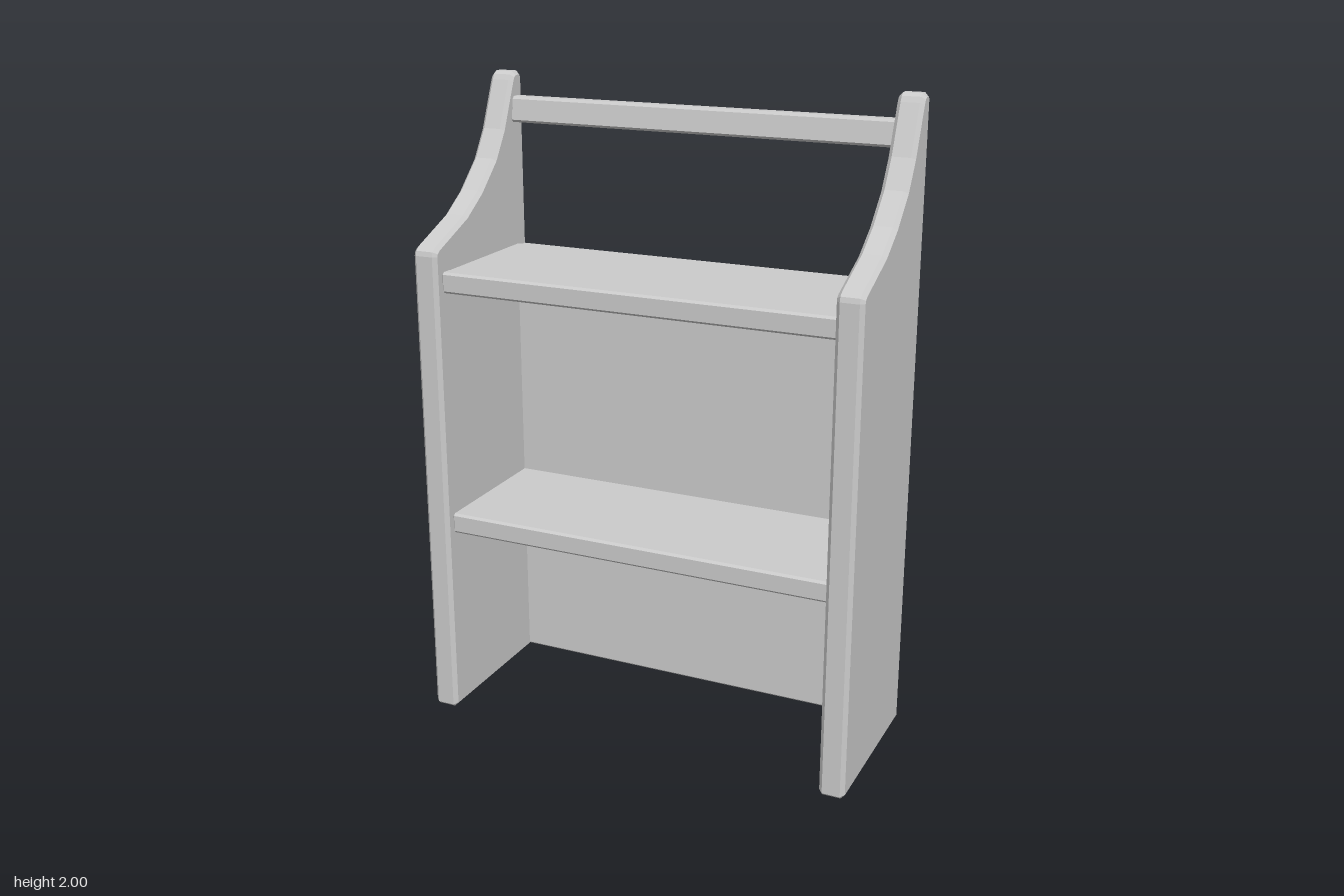
import * as THREE from 'three';

const material = new THREE.MeshStandardMaterial({ color: 0xcccccc, flatShading: true });

// Board with a [z, y] outline, running from x0 to x1, edges bevelled
function board(name, outline, x0, x1, bevel) {
  const shape = new THREE.Shape(outline.map(([z, y]) => new THREE.Vector2(-z, y)));
  const geometry = new THREE.ExtrudeGeometry(shape, {
    depth: x1 - x0 - 2 * bevel,
    bevelEnabled: true,
    bevelThickness: bevel,
    bevelSize: bevel,
    bevelOffset: -bevel,
    bevelSegments: 1,
  });
  geometry.rotateY(Math.PI / 2);
  geometry.translate(x0 + bevel, 0, 0);
  const mesh = new THREE.Mesh(geometry, material);
  mesh.name = name;
  return mesh;
}

// Rectangular outline with chamfered corners
function chamfered(z0, z1, y0, y1, c) {
  return [
    [z1 - c, y0], [z1, y0 + c], [z1, y1 - c], [z1 - c, y1],
    [z0 + c, y1], [z0, y1 - c], [z0, y0 + c], [z0 + c, y0],
  ];
}

export function createModel() {
  const model = new THREE.Group();
  model.name = 'shelfUnit';

  // Side panels with a swept top edge
  const sideOutline = [
    [-0.274, 0.008], [-0.266, 0], [0.266, 0], [0.274, 0.008],
    [0.274, 1.505], [0.27, 1.52], [0.255, 1.532],
    [0.09, 1.6], [0, 1.66], [-0.09, 1.745], [-0.145, 1.83],
    [-0.208, 1.975], [-0.217, 1.991], [-0.232, 2], [-0.257, 2], [-0.27, 1.992], [-0.274, 1.975],
  ];
  model.add(board('rightSide', sideOutline, -0.705, -0.625, 0.012));
  model.add(board('leftSide', sideOutline, 0.625, 0.705, 0.012));

  // Back panel
  model.add(board('backPanel', chamfered(-0.268, -0.215, 0.01, 1.445, 0.006), -0.63, 0.63, 0.002));

  // Shelves, each with a front lip
  for (const [name, top] of [['lowerShelf', 0.675], ['upperShelf', 1.455]]) {
    const shelf = new THREE.Group();
    shelf.name = name;
    shelf.add(board('shelfBoard', chamfered(-0.22, 0.21, top - 0.06, top - 0.003, 0.004), -0.626, 0.626, 0.002));
    shelf.add(board('shelfLip', chamfered(0.2, 0.245, top - 0.065, top, 0.007), -0.624, 0.624, 0.004));
    model.add(shelf);
  }

  // Top rail, its front face leaning slightly back
  const railOutline = [
    [-0.25, 1.845], [-0.208, 1.845], [-0.2, 1.853], [-0.21, 1.917], [-0.217, 1.925],
    [-0.248, 1.925], [-0.256, 1.917], [-0.256, 1.853],
  ];
  model.add(board('topRail', railOutline, -0.628, 0.628, 0.004));

  return model;
}
